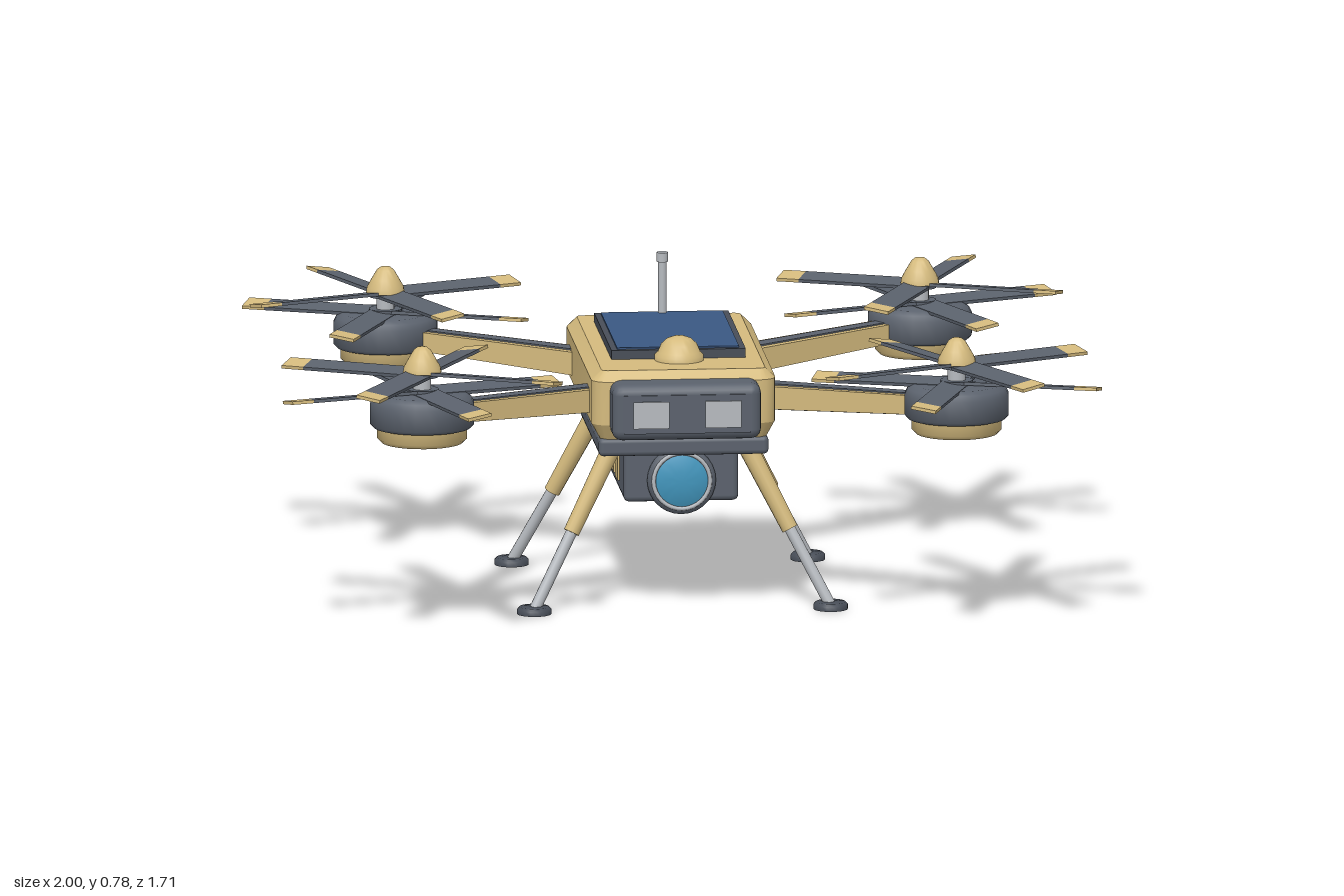
import * as THREE from 'three';
import { toCreasedNormals } from 'three/addons/utils/BufferGeometryUtils.js';
import { RoundedBoxGeometry } from 'three/addons/geometries/RoundedBoxGeometry.js';

const material = (name, color) => {
  const m = new THREE.MeshStandardMaterial({ color });
  m.name = name;
  return m;
};
const tan = material('tan paint', 0xd5bb7e);
const slate = material('slate grey', 0x5b626d);
const dark = material('dark grey', 0x484e58);
const navy = material('solar blue', 0x3a5883);
const metal = material('light metal', 0xb7bbc0);
const glass = material('lens blue', 0x4296bd);

function add(parent, name, geometry, mat, x = 0, y = 0, z = 0) {
  const mesh = new THREE.Mesh(geometry, mat);
  mesh.name = name;
  mesh.position.set(x, y, z);
  parent.add(mesh);
  return mesh;
}

const box = (w, h, d) => new THREE.BoxGeometry(w, h, d);
const rounded = (w, h, d, r) => new RoundedBoxGeometry(w, h, d, 2, r);
const lathe = (points, sides = 28) => toCreasedNormals(
  new THREE.LatheGeometry(points.map(p => new THREE.Vector2(...p)), sides), 1);

// Stack of rounded rectangles, each ring given as [height, inset]
function roundedStack(w, d, radius, rings) {
  const positions = [], index = [], perCorner = 5, n = perCorner * 4;
  for (const [y, inset] of rings) {
    const r = Math.max(radius - inset, 0.008);
    for (let i = 0; i < n; i++) {
      const corner = Math.floor(i / perCorner);
      const a = (corner + (i % perCorner) / (perCorner - 1)) * Math.PI / 2;
      const sx = corner === 0 || corner === 3 ? 1 : -1, sz = corner < 2 ? 1 : -1;
      positions.push(sx * (w / 2 - inset - r) + r * Math.cos(a), y,
        sz * (d / 2 - inset - r) + r * Math.sin(a));
    }
  }
  const last = rings.length - 1, bottom = rings.length * n, top = bottom + 1;
  positions.push(0, rings[0][0], 0, 0, rings[last][0], 0);
  for (let i = 0; i < n; i++) {
    const k = (i + 1) % n;
    for (let j = 0; j < last; j++) {
      const a = j * n + i, b = j * n + k;
      index.push(a, a + n, b, b, a + n, b + n);
    }
    index.push(bottom, i, k, top, last * n + k, last * n + i);
  }
  const g = new THREE.BufferGeometry();
  g.setAttribute('position', new THREE.Float32BufferAttribute(positions, 3));
  g.setIndex(index);
  g.computeVertexNormals();
  return toCreasedNormals(g, 0.45);
}

// Round rod between two points
function rod(parent, name, from, to, r0, r1, mat) {
  const a = new THREE.Vector3(...from), b = new THREE.Vector3(...to);
  const dir = b.clone().sub(a);
  const mesh = add(parent, name, new THREE.CylinderGeometry(r1, r0, dir.length(), 14), mat);
  mesh.position.copy(a).add(b).multiplyScalar(0.5);
  mesh.quaternion.setFromUnitVectors(new THREE.Vector3(0, 1, 0), dir.normalize());
}

// Bar along +z whose far end is narrower
function taperedBar(w, h, length, taper) {
  const g = box(w, h, length).translate(0, 0, length / 2);
  const p = g.attributes.position;
  for (let i = 0; i < p.count; i++) {
    if (p.getZ(i) > length / 2) p.setXY(i, p.getX(i) * taper, p.getY(i) * taper);
  }
  g.computeVertexNormals();
  return g;
}

// Four pitched blades with painted tips
function rotor(parent, name, y, phase, spin) {
  const group = new THREE.Group();
  group.name = name;
  group.position.y = y;
  for (let i = 0; i < 4; i++) {
    const blade = new THREE.Group();
    blade.name = 'blade';
    blade.rotation.order = 'YXZ';
    blade.rotation.set(spin * 0.15, phase + i * Math.PI / 2, 0);
    add(blade, 'bladeSpan', box(0.28, 0.008, 0.062), slate, 0.16, 0, 0);
    add(blade, 'bladeTip', box(0.056, 0.008, 0.062), tan, 0.328, 0, 0);
    group.add(blade);
  }
  add(group, 'rotorCollar', new THREE.CylinderGeometry(0.04, 0.04, 0.016, 20), slate);
  parent.add(group);
}

function createBody(model) {
  const body = new THREE.Group();
  body.name = 'body';
  model.add(body);
  add(body, 'hull', roundedStack(0.45, 0.755, 0.04, [
    [0.43, 0.025], [0.475, 0], [0.582, 0], [0.606, 0.025],
  ]), tan, 0, 0, -0.007);
  add(body, 'bellyPlate', rounded(0.415, 0.045, 0.715, 0.012), slate, 0, 0.416, -0.003);

  // Solar panel on the deck
  add(body, 'panelFrame', box(0.328, 0.028, 0.48), dark, 0, 0.614, -0.035);
  add(body, 'solarPanel', box(0.298, 0.006, 0.45), navy, 0, 0.629, -0.035);

  // Beacon and antenna
  add(body, 'beacon', lathe([[0, 0.6], [0.06, 0.6], [0.06, 0.618], [0.052, 0.626],
    [0.044, 0.645], [0.03, 0.658], [0.014, 0.664], [0, 0.665]]), tan, 0, 0, 0.218);
  rod(body, 'antennaRod', [0, 0.6, -0.247], [0, 0.765, -0.247], 0.01, 0.01, metal);
  add(body, 'antennaTip', new THREE.CylinderGeometry(0.014, 0.014, 0.023, 14), metal, 0, 0.77, -0.247);

  // Nose with two sensor windows
  add(body, 'nose', rounded(0.364, 0.138, 0.14, 0.025), slate, 0, 0.517, 0.377);
  add(body, 'noseFace', box(0.31, 0.095, 0.006), slate, 0, 0.515, 0.447);
  for (const s of [-1, 1]) {
    add(body, 'sensorWindow', box(0.088, 0.066, 0.006), metal, s * 0.088, 0.514, 0.451);
  }

  // Equipment pod with side panels
  add(body, 'pod', rounded(0.28, 0.145, 0.46, 0.014), slate, 0, 0.338, 0.052);
  for (const s of [-1, 1]) {
    for (const z of [0.125, 0.02, -0.085]) {
      add(body, 'podPanel', box(0.008, 0.074, 0.062), tan, s * 0.141, 0.333, z);
    }
  }

  // Camera
  const camera = new THREE.Group();
  camera.name = 'camera';
  camera.position.set(0, 0.32, 0.15);
  camera.rotation.x = Math.PI / 2;
  body.add(camera);
  add(camera, 'cameraBarrel', lathe([[0, 0], [0.084, 0], [0.084, 0.138], [0.076, 0.147], [0, 0.147]]), slate);
  add(camera, 'lensRing', new THREE.TorusGeometry(0.069, 0.005, 8, 32).rotateX(Math.PI / 2), metal, 0, 0.147, 0);
  add(camera, 'lens', lathe([[0.066, 0.146], [0.05, 0.152], [0.025, 0.156], [0, 0.157]]), glass);
}

// Arm, motor and paired rotors for one corner
function createArm(model, sx, sz) {
  const arm = new THREE.Group();
  arm.name = 'arm';
  const start = new THREE.Vector3(sx * 0.18, 0.517, sz * 0.215);
  const end = new THREE.Vector3(sx * 0.62, 0.537, sz * 0.49);
  const length = start.distanceTo(end);
  arm.position.copy(start);
  arm.lookAt(end);
  add(arm, 'armBeam', taperedBar(0.08, 0.058, length, 0.78), tan);
  add(arm, 'armStrips', taperedBar(0.042, 0.066, length, 0.78), slate);
  model.add(arm);

  const motor = new THREE.Group();
  motor.name = 'motor';
  motor.position.set(sx * 0.653, 0, sz * 0.51 - 0.005);
  add(motor, 'motorBase', lathe([[0, 0.47], [0.1, 0.47], [0.11, 0.48], [0.11, 0.525], [0, 0.525]]), tan);
  add(motor, 'motorCase', lathe([[0, 0.508], [0.12, 0.508], [0.127, 0.516], [0.127, 0.568],
    [0.12, 0.582], [0.105, 0.591], [0, 0.591]]), slate);
  add(motor, 'shaft', new THREE.CylinderGeometry(0.022, 0.022, 0.07, 16), metal, 0, 0.612, 0);
  // Diagonal pairs turn the same way, neighbours are mirrored
  const spin = sx * sz;
  const phase = Math.PI / 4 + spin * Math.PI / 8 + (sz > 0 ? sx * 0.075 : 0);
  rotor(motor, 'lowerRotor', 0.593, phase, -spin);
  rotor(motor, 'upperRotor', 0.639, phase + Math.PI / 4, spin);
  add(motor, 'spinner', lathe([[0, 0.642], [0.047, 0.642], [0.045, 0.655], [0.034, 0.675],
    [0.021, 0.697], [0.012, 0.704], [0, 0.706]], 20), tan);
  model.add(motor);
}

// Telescopic landing leg for one corner
function createLeg(model, sx, sz) {
  const leg = new THREE.Group();
  leg.name = 'landingLeg';
  const at = (x, y, z) => [sx * x, y, sz * z - 0.003];
  rod(leg, 'upperLeg', at(0.15, 0.42, 0.215), at(0.267, 0.19, 0.264), 0.024, 0.02, tan);
  rod(leg, 'lowerLeg', at(0.262, 0.2, 0.262), at(0.36, 0.012, 0.313), 0.014, 0.014, metal);
  add(leg, 'foot', lathe([[0, 0], [0.042, 0], [0.042, 0.012], [0.036, 0.018], [0, 0.018]], 20),
    dark, ...at(0.362, 0, 0.315));
  model.add(leg);
}

export function createModel() {
  const model = new THREE.Group();
  model.name = 'quadcopter';
  createBody(model);
  for (const sx of [-1, 1]) {
    for (const sz of [-1, 1]) {
      createArm(model, sx, sz);
      createLeg(model, sx, sz);
    }
  }
  return model;
}
